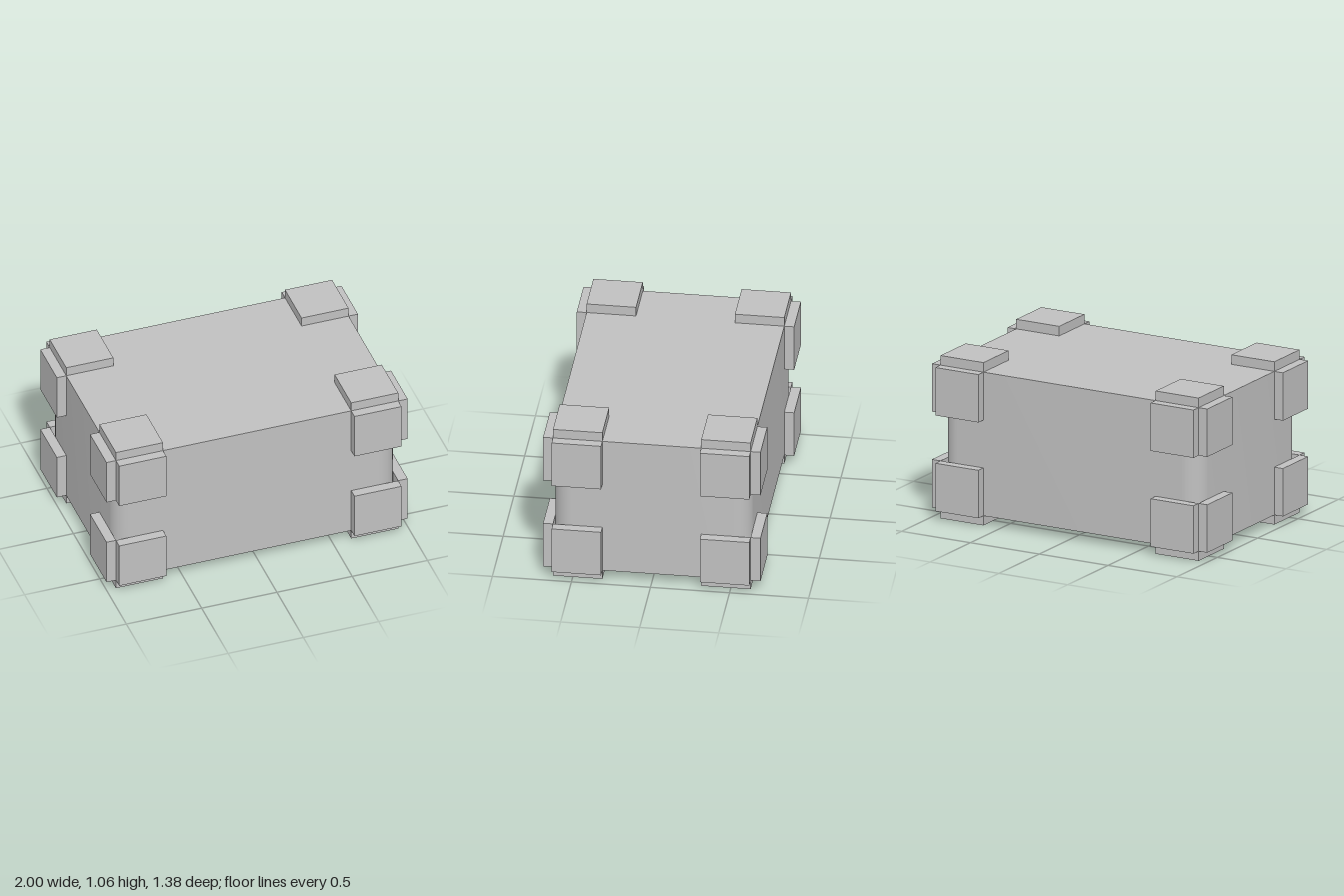
import * as THREE from 'three';
import { toCreasedNormals } from 'three/addons/utils/BufferGeometryUtils.js';

const HX = 0.9375, HZ = 0.625;      // body half width and half depth
const Y0 = 0.0625, Y1 = 1;          // body bottom and top
const R = 0.125;                    // radius of the upright edges
const PAD = 0.3125, THICK = 0.0625; // corner pads

export function createModel() {
  const model = new THREE.Group();
  model.name = 'paddedBox';
  const grey = new THREE.MeshStandardMaterial({ color: 0xc0c0c0 });
  grey.name = 'grey';

  // Body: rounded rectangle extruded upwards
  const s = new THREE.Shape();
  s.moveTo(-HX + R, -HZ);
  s.lineTo(HX - R, -HZ);
  s.absarc(HX - R, -HZ + R, R, -Math.PI / 2, 0);
  s.lineTo(HX, HZ - R);
  s.absarc(HX - R, HZ - R, R, 0, Math.PI / 2);
  s.lineTo(-HX + R, HZ);
  s.absarc(-HX + R, HZ - R, R, Math.PI / 2, Math.PI);
  s.lineTo(-HX, -HZ + R);
  s.absarc(-HX + R, -HZ + R, R, Math.PI, Math.PI * 1.5);
  const bodyGeo = new THREE.ExtrudeGeometry(s, { depth: Y1 - Y0, bevelEnabled: false, curveSegments: 12 });
  bodyGeo.rotateX(-Math.PI / 2).translate(0, Y0, 0);
  const body = new THREE.Mesh(toCreasedNormals(bodyGeo, Math.PI / 6), grey);
  body.name = 'body';
  model.add(body);

  // Three pads at each of the eight corners, one per face
  const pads = {
    frontBackPad: new THREE.BoxGeometry(PAD, PAD, THICK),
    sidePad: new THREE.BoxGeometry(THICK, PAD, PAD),
    topBottomPad: new THREE.BoxGeometry(PAD, THICK, PAD),
  };
  const midY = (Y0 + Y1) / 2, hy = (Y1 - Y0) / 2;
  const inset = PAD / 2, out = THICK / 2;
  for (const sx of [-1, 1]) for (const sy of [-1, 1]) for (const sz of [-1, 1]) {
    const corner = new THREE.Group();
    corner.name = `${sy > 0 ? 'top' : 'bottom'}${sz > 0 ? 'Front' : 'Back'}${sx > 0 ? 'Left' : 'Right'}Corner`;
    const add = (name, dx, dy, dz) => {
      const pad = new THREE.Mesh(pads[name], grey);
      pad.name = name;
      pad.position.set(sx * (HX + dx), midY + sy * (hy + dy), sz * (HZ + dz));
      corner.add(pad);
    };
    add('frontBackPad', -inset, -inset, out);
    add('sidePad', out, -inset, -inset);
    add('topBottomPad', -inset, out, -inset);
    model.add(corner);
  }
  return model;
}
